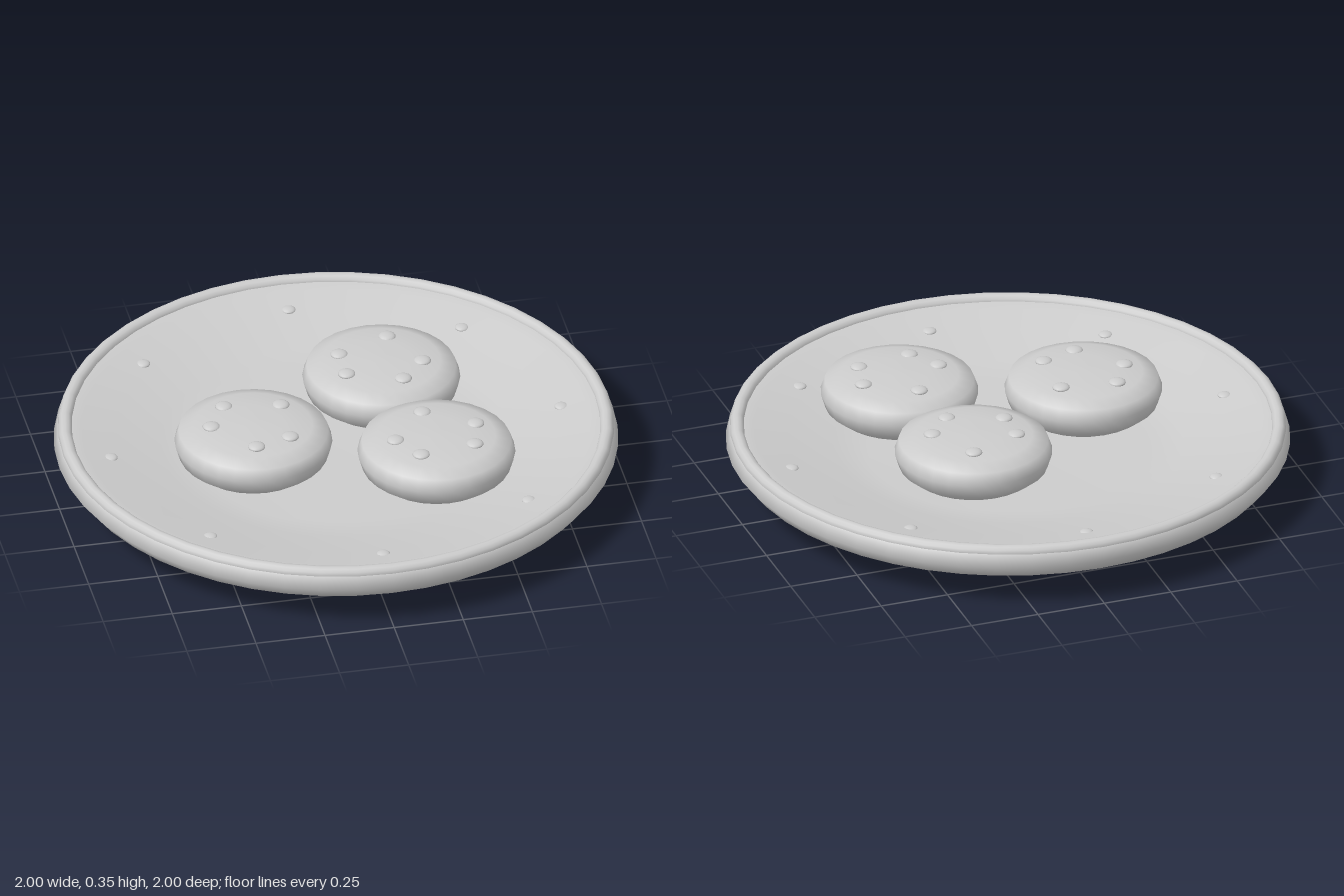
import * as THREE from 'three';

const grey = new THREE.MeshStandardMaterial({ color: 0xcccccc });
grey.name = 'plain grey';

const lathe = (points, sides) =>
  new THREE.LatheGeometry(points.map(([r, y]) => new THREE.Vector2(r, y)), sides);

function addMesh(parent, name, geometry, x = 0, y = 0, z = 0) {
  const mesh = new THREE.Mesh(geometry, grey);
  mesh.name = name;
  mesh.position.set(x, y, z);
  parent.add(mesh);
  return mesh;
}

export function createModel() {
  const model = new THREE.Group();
  model.name = 'plateOfCookies';

  // Shallow dish: foot, flared underside, rounded edge, gently sunken floor
  addMesh(model, 'plate', lathe([
    [0, 0], [0.58, 0], [0.71, 0.03], [0.96, 0.12], [1, 0.17], [0.985, 0.217],
    [0.96, 0.228], [0.9, 0.213], [0.78, 0.188], [0.62, 0.15], [0.5, 0.134], [0, 0.13],
  ], 48));

  // Raised bead running round the edge
  const bead = new THREE.TorusGeometry(0.96, 0.025, 12, 48).rotateX(Math.PI / 2);
  addMesh(model, 'rimBead', bead, 0, 0.218, 0);

  // Ring of small studs set into the sloping inside
  const stud = new THREE.SphereGeometry(0.025, 16, 10).scale(1, 0.4, 1);
  for (let i = 0; i < 8; i++) {
    const a = (i * Math.PI) / 4;
    addMesh(model, 'plateStud', stud, Math.sin(a) * 0.815, 0.193, Math.cos(a) * 0.815);
  }

  // Puffy cookies, each with five chips
  const cookieShape = lathe([
    [0, 0.14], [0.15, 0.15], [0.22, 0.18], [0.265, 0.215], [0.28, 0.265],
    [0.265, 0.308], [0.21, 0.328], [0.11, 0.338], [0, 0.34],
  ], 28);
  const chip = new THREE.SphereGeometry(0.031, 16, 10).scale(1, 0.4, 1);
  const cookies = [
    { at: [0.3, 0.3], chips: [[-0.02, -0.15], [0.15, -0.04], [0.12, 0.09], [-0.08, 0.12], [-0.15, 0.01]] },
    { at: [0.21, -0.22], chips: [[0.05, -0.14], [-0.14, -0.06], [-0.14, 0.07], [0.05, 0.14], [0.14, 0.04]] },
    { at: [-0.32, 0.1], chips: [[-0.08, -0.13], [0.12, -0.1], [0.11, 0.11], [-0.02, 0.15], [-0.15, -0.01]] },
  ];
  for (const { at, chips } of cookies) {
    const cookie = new THREE.Group();
    cookie.name = 'cookie';
    cookie.position.set(at[0], 0, at[1]);
    addMesh(cookie, 'cookieBody', cookieShape);
    for (const [x, z] of chips) addMesh(cookie, 'cookieChip', chip, x, 0.334, z);
    model.add(cookie);
  }
  return model;
}
